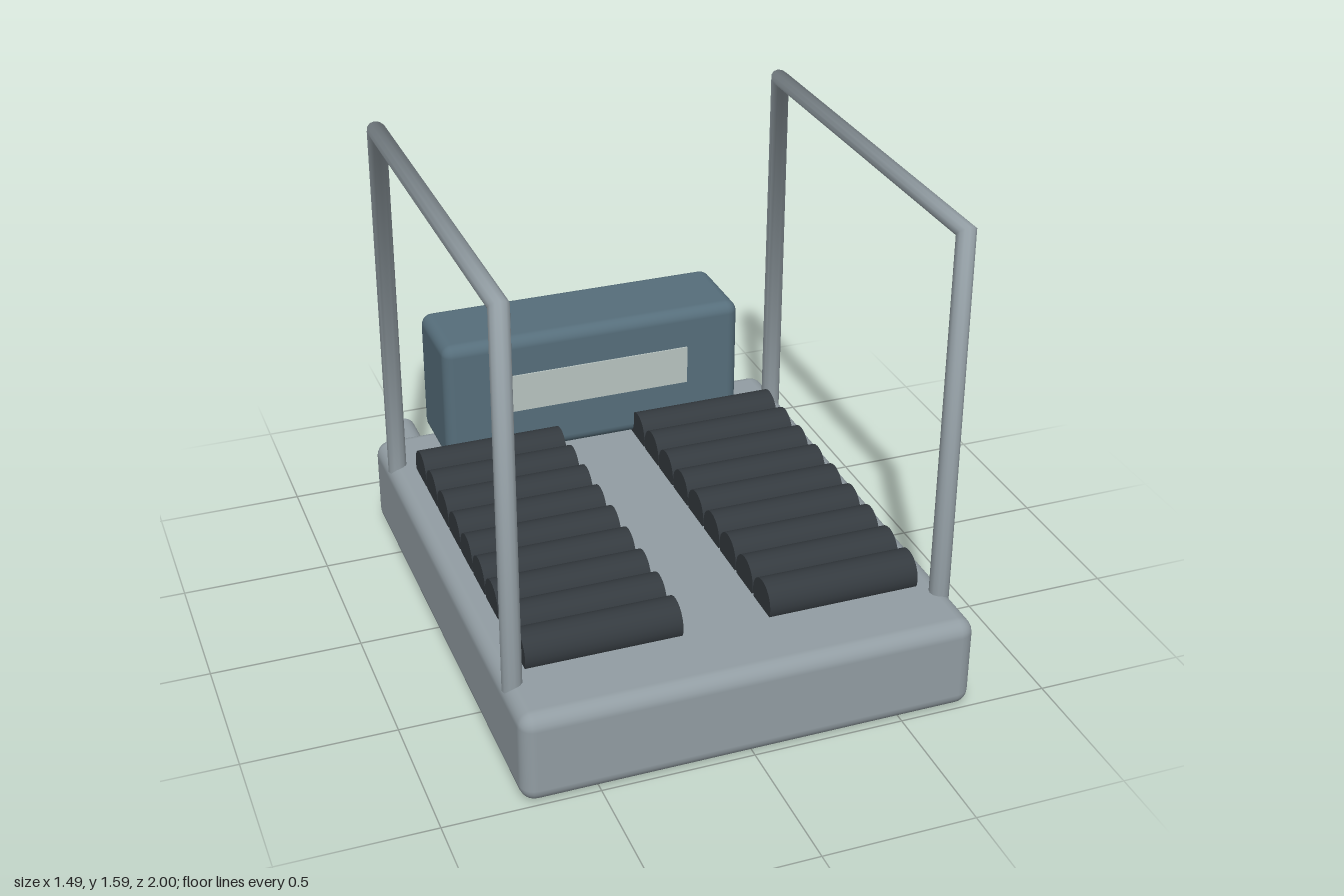
import * as THREE from 'three';
import { RoundedBoxGeometry } from 'three/addons/geometries/RoundedBoxGeometry.js';

const material = (name, color) => {
  const m = new THREE.MeshStandardMaterial({ color });
  m.name = name;
  return m;
};

// Bent rail with mitred corners: one tube ring at each point
class MitredPath extends THREE.Curve {
  constructor(points) {
    super();
    this.points = points;
  }
  getPointAt(u, target = new THREE.Vector3()) {
    const last = this.points.length - 1;
    const i = Math.min(Math.floor(u * last + 1e-6), last - 1);
    return target.lerpVectors(this.points[i], this.points[i + 1], u * last - i);
  }
  getPoint(t, target) {
    return this.getPointAt(t, target);
  }
  getTangentAt(u, target = new THREE.Vector3()) {
    const p = this.points, last = p.length - 1;
    const i = Math.round(u * last);
    target.set(0, 0, 0);
    if (i > 0) target.add(p[i].clone().sub(p[i - 1]).normalize());
    if (i < last) target.add(p[i + 1].clone().sub(p[i]).normalize());
    return target.normalize();
  }
}

export function createModel() {
  const model = new THREE.Group();
  model.name = 'rollerMachine';
  const metal = material('light grey metal', 0x929da3);
  const casing = material('slate blue casing', 0x566e7b);
  const rubber = material('dark rubber', 0x343a3f);
  const pale = material('pale panel', 0xb9c5c1);

  const add = (name, geometry, mat, x, y, z, parent = model) => {
    const mesh = new THREE.Mesh(geometry, mat);
    mesh.name = name;
    mesh.position.set(x, y, z);
    parent.add(mesh);
    return mesh;
  };

  // Base slab
  add('base', new RoundedBoxGeometry(1.49, 0.315, 1.78, 3, 0.05), metal, 0, 0.1575, 0.11);

  // Rear housing with its front panel
  add('housing', new RoundedBoxGeometry(1.09, 0.455, 0.325, 3, 0.04), casing, 0, 0.5425, -0.66);
  add('displayPanel', new THREE.BoxGeometry(0.694, 0.14, 0.008), pale, 0, 0.56, -0.4965);

  // Two banks of rollers, half sunk in the base
  const rollerGeometry = new THREE.CylinderGeometry(0.07, 0.07, 0.51, 24).rotateZ(Math.PI / 2);
  for (const side of [-1, 1]) {
    const bank = new THREE.Group();
    bank.name = side > 0 ? 'leftRollers' : 'rightRollers';
    model.add(bank);
    for (let i = 0; i < 9; i++) {
      add('roller', rollerGeometry, rubber, side * 0.4, 0.343, 0.685 - i * 0.1427, bank);
    }
  }

  // Side rails
  const path = new MitredPath([
    new THREE.Vector3(0, 0.29, 0.797),
    new THREE.Vector3(0, 1.567, 0.797),
    new THREE.Vector3(0, 1.567, -0.575),
    new THREE.Vector3(0, 0.29, -0.575),
  ]);
  const railGeometry = new THREE.TubeGeometry(path, 3, 0.0325, 12);
  add('leftRail', railGeometry, metal, 0.711, 0, 0);
  add('rightRail', railGeometry, metal, -0.711, 0, 0);

  // Pipe stub at the back
  const pipe = new THREE.CylinderGeometry(0.047, 0.047, 0.26, 20).rotateX(Math.PI / 2);
  add('pipe', pipe, metal, -0.588, 0.205, -0.87);

  return model;
}
